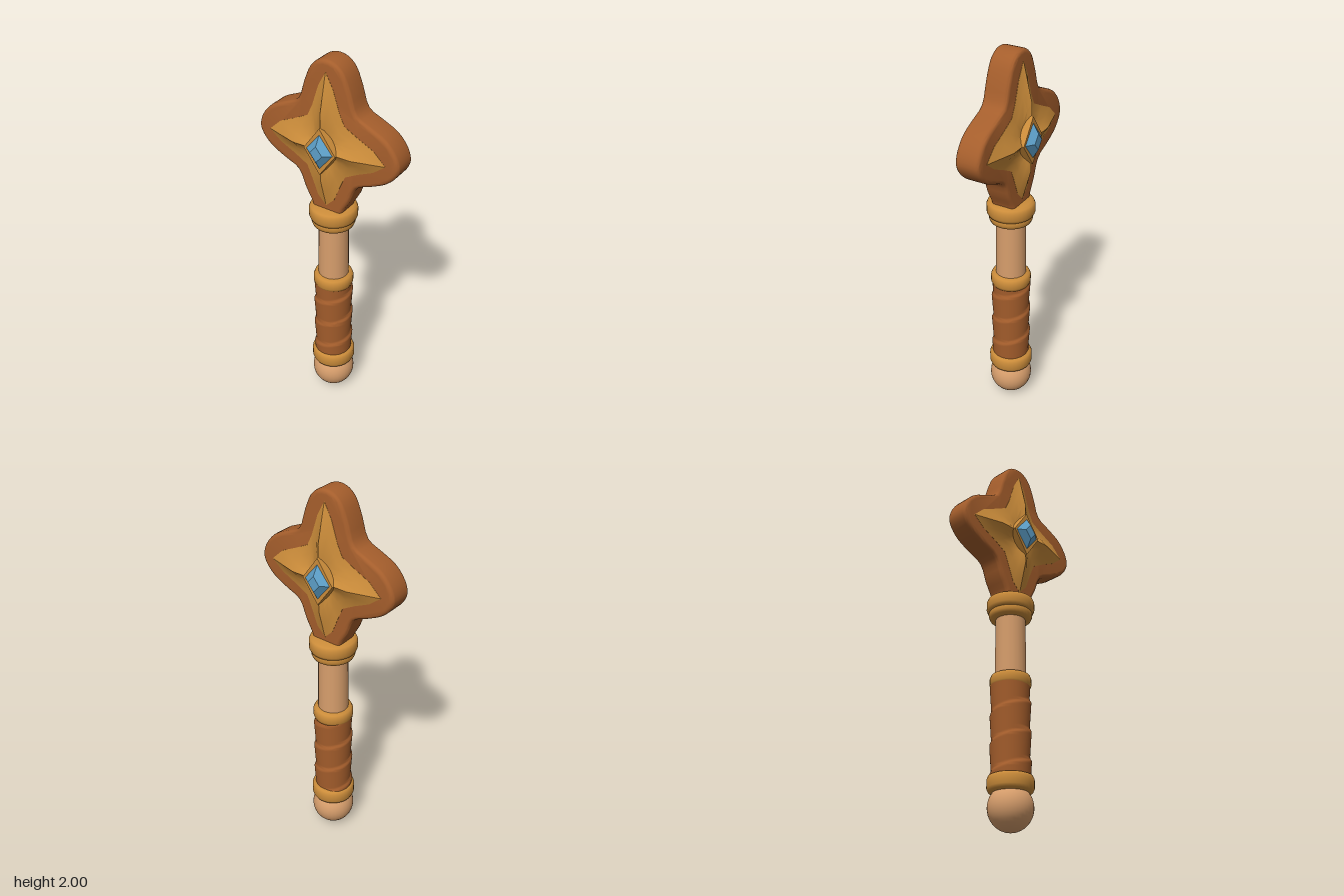
import * as THREE from 'three';
import { toCreasedNormals } from 'three/addons/utils/BufferGeometryUtils.js';

const material = (name, color, flatShading = false) =>
  Object.assign(new THREE.MeshStandardMaterial({ color, flatShading }), { name });

// Mirror a right-hand outline (top to bottom) into a closed anticlockwise loop
function closedOutline(half) {
  const left = half.filter((p) => p[0] > 0).map(([x, ...rest]) => [-x, ...rest]);
  return [...left, half[half.length - 1], ...half.filter((p) => p[0] > 0).reverse(), half[0]];
}

export function createModel() {
  const gold = material('gold', 0xcb8c3a);
  const leather = material('brown leather', 0xa55e2c);
  const wood = material('pale wood', 0xd79e6c);
  const crystal = material('blue crystal', 0x5d9fc8);
  crystal.flatShading = true;

  const wand = new THREE.Group();
  wand.name = 'wand';
  const add = (name, geometry, mat, parent = wand) => {
    const mesh = new THREE.Mesh(geometry, mat);
    mesh.name = name;
    parent.add(mesh);
    return mesh;
  };
  const lathe = (pts, sides = 32) =>
    toCreasedNormals(new THREE.LatheGeometry(pts.map((p) => new THREE.Vector2(...p)), sides), 0.8);

  // Rounded metal band
  const band = (name, y0, y1, r) => {
    const c = Math.min(0.022, (y1 - y0) * 0.35);
    add(name, lathe([
      [0, y0], [r - c, y0], [r - c * 0.3, y0 + c * 0.3], [r, y0 + c],
      [r, y1 - c], [r - c * 0.3, y1 - c * 0.3], [r - c, y1], [0, y1],
    ]), gold);
  };

  // Pommel and shaft
  const pommel = add('pommel', new THREE.SphereGeometry(0.112, 32, 20), wood);
  pommel.position.y = 0.115;
  pommel.scale.y = 1.027;
  add('shaft', new THREE.CylinderGeometry(0.077, 0.083, 0.96, 20), wood).position.y = 0.66;

  // Grip with overlapping spiral wrap
  const grip = new THREE.CylinderGeometry(0.1, 0.1, 0.47, 48, 60, true);
  const gp = grip.attributes.position;
  for (let i = 0; i < gp.count; i++) {
    const x = gp.getX(i), y = gp.getY(i), z = gp.getZ(i);
    const turn = y / 0.15 - Math.atan2(x, z) / (2 * Math.PI) + 10;
    const step = turn - Math.floor(turn);
    const r = 0.094 + 0.01 * Math.min(step, (1 - step) * 8);
    gp.setXYZ(i, (x / 0.1) * r, y, (z / 0.1) * r);
  }
  add('gripWrap', toCreasedNormals(grip, 0.6), leather).position.y = 0.49;

  // Metal bands
  band('lowerBand', 0.185, 0.272, 0.115);
  band('gripTopBand', 0.71, 0.786, 0.104);
  band('collarBase', 1.09, 1.15, 0.111);
  band('collarRim', 1.128, 1.21, 0.123);

  // Rounded four-pointed star frame
  const head = new THREE.Group();
  head.name = 'starHead';
  head.position.y = 1.56;
  wand.add(head);
  const frameHalf = [
    [0, 0.44], [0.05, 0.427], [0.09, 0.39], [0.127, 0.305], [0.163, 0.205],
    [0.235, 0.168], [0.32, 0.125], [0.375, 0.06], [0.392, 0], [0.375, -0.048], [0.325, -0.1],
    [0.245, -0.142], [0.167, -0.18], [0.127, -0.27], [0.085, -0.35], [0.07, -0.41], [0, -0.415],
  ];
  const curve = new THREE.CatmullRomCurve3(
    closedOutline(frameHalf).map(([x, y]) => new THREE.Vector3(x, y, 0)), true);
  const frameShape = new THREE.Shape(curve.getPoints(96).slice(0, -1).map((p) => new THREE.Vector2(p.x, p.y)));
  const frame = new THREE.ExtrudeGeometry(frameShape, {
    depth: 0.09, bevelThickness: 0.02, bevelSize: 0.02, bevelOffset: -0.02, bevelSegments: 4,
  });
  frame.translate(0, 0, -0.045);
  add('starFrame', toCreasedNormals(frame, 0.7), leather, head);

  // Ridged star inlay: x, y and ridge weight for the right half
  const outline = closedOutline([
    [0, 0.385, 1], [0.04, 0.31, 0.72], [0.075, 0.2, 0.5], [0.103, 0.14, 0.4],
    [0.18, 0.1, 0.5], [0.26, 0.062, 0.72], [0.325, 0, 1],
    [0.26, -0.052, 0.72], [0.18, -0.09, 0.5], [0.108, -0.13, 0.4],
    [0.078, -0.2, 0.5], [0.047, -0.28, 0.72], [0, -0.328, 1],
  ]);
  const n = outline.length;
  const rings = [[1, 0], [1, 0], [0.75, 0.5], [0.5, 1], [0.25, 1]];
  const verts = [], faces = [];
  rings.forEach(([s, rise], k) => outline.forEach(([x, y, w]) =>
    verts.push(x * s, y * s, k === 0 ? 0.04 : 0.066 + 0.046 * w * rise)));
  verts.push(0, 0, 0.108);
  for (let i = 0; i < n; i++) {
    const j = (i + 1) % n;
    for (let k = 0; k < rings.length - 1; k++) {
      const a = k * n + i, b = k * n + j;
      faces.push(a, b, b + n, a, b + n, a + n);
    }
    const last = (rings.length - 1) * n;
    faces.push(last + i, last + j, rings.length * n);
  }
  const star = new THREE.BufferGeometry();
  star.setAttribute('position', new THREE.Float32BufferAttribute(verts, 3));
  star.setIndex(faces);
  const inlay = toCreasedNormals(star, 0.45);

  // Four-sided tapered plate facing +z
  const diamond = (w0, h0, w1, z0, z1) => {
    const g = new THREE.CylinderGeometry(w1 / w0, 1, z1 - z0, 4).toNonIndexed();
    g.rotateX(Math.PI / 2);
    g.scale(w0, h0, 1);
    g.translate(0, 0, (z0 + z1) / 2);
    g.computeVertexNormals();
    return g;
  };

  // Inlay, setting and gem on both faces
  ['front', 'back'].forEach((side, i) => {
    const face = new THREE.Group();
    face.name = side + 'Ornament';
    face.rotation.y = i * Math.PI;
    head.add(face);
    add('starInlay', inlay, gold, face);
    add('gemSetting', diamond(0.096, 0.135, 0.088, 0.07, 0.121), gold, face);
    add('gem', diamond(0.076, 0.094, 0.034, 0.119, 0.15), crystal, face);
  });
  return wand;
}
